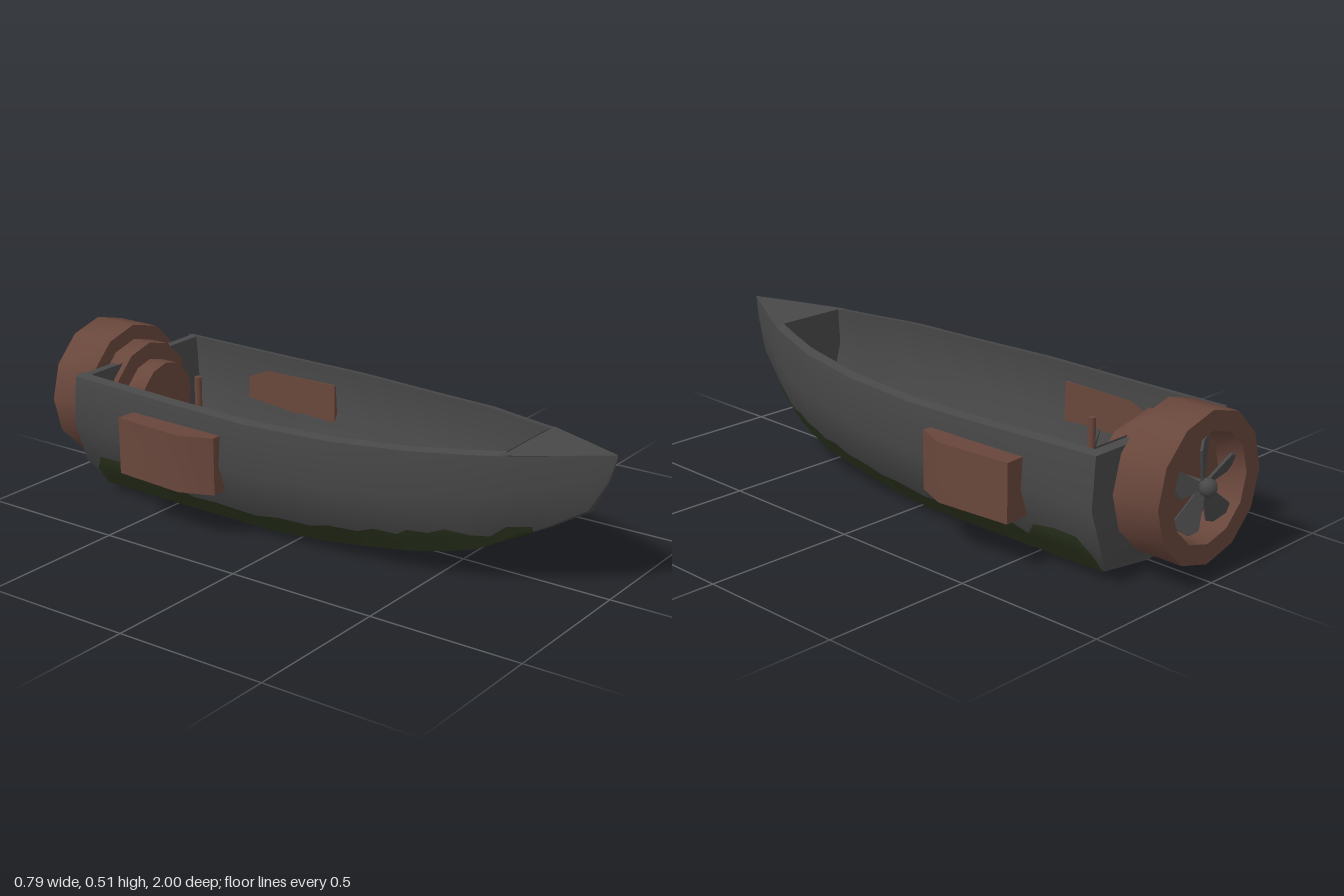
import * as THREE from 'three';
import { toCreasedNormals } from 'three/addons/utils/BufferGeometryUtils.js';

const V = (x, y, z) => new THREE.Vector3(x, y, z);
const material = (name, color) => {
  const m = new THREE.MeshStandardMaterial({ color, side: THREE.DoubleSide });
  m.name = name;
  return m;
};

// Linear lookup in [z, value] pairs, z descending
function lookup(table, z) {
  for (let i = 1; i < table.length; i++) {
    const [z0, a] = table[i - 1], [z1, b] = table[i];
    if (z >= z1) return a + (b - a) * Math.min(1, Math.max(0, (z0 - z) / (z0 - z1)));
  }
  return table[table.length - 1][1];
}
const beam = z => lookup([[1, 0], [0.98, 0.012], [0.93, 0.04], [0.85, 0.085], [0.7, 0.165], [0.45, 0.255],
  [0.2, 0.3], [-0.1, 0.33], [-0.4, 0.322], [-0.81, 0.308]], z);
const keel = z => lookup([[1, 0.44], [0.98, 0.36], [0.93, 0.26], [0.8, 0.18], [0.6, 0.08], [0.45, 0.05],
  [0.2, 0.02], [0, 0.004], [-0.81, 0]], z);
const sheer = z => lookup([[1, 0.445], [0.6, 0.42], [0.2, 0.402], [-0.2, 0.4], [-0.81, 0.413]], z);

// Half cross-section of the hull, gunwale down to keel
function section(z) {
  const w = beam(z), k = keel(z), h = sheer(z) - k;
  return [[0.96 * w, k + h], [w, k + 0.61 * h], [0.85 * w, k + 0.28 * h], [0.64 * w, k + 0.06 * h], [0, k]];
}
// Half width of the hull at a given height
function halfWidth(z, y) {
  const s = section(z);
  for (let i = 1; i < s.length; i++) {
    if (y >= s[i][1]) {
      const t = (y - s[i][1]) / (s[i - 1][1] - s[i][1]);
      return s[i][0] + (s[i - 1][0] - s[i][0]) * Math.min(1, t);
    }
  }
  return 0;
}

// Surface through equally long rows of points
function loft(rows, crease = 0.6) {
  const n = rows[0].length, index = [];
  for (let i = 0; i < rows.length - 1; i++) {
    for (let j = 0; j < n - 1; j++) {
      const a = i * n + j, c = a + n;
      index.push(a, c, a + 1, a + 1, c, c + 1);
    }
  }
  const g = new THREE.BufferGeometry().setFromPoints(rows.flat());
  g.setIndex(index);
  return toCreasedNormals(g, crease);
}
const mirrorRow = half => [...half, ...half.slice(0, -1).reverse().map(p => V(-p.x, p.y, p.z))];
const toCentre = row => row.map(p => V(0, p.y, p.z));

export function createModel() {
  const hullGrey = material('hull grey', 0x484848);
  const rust = material('rust brown', 0x68463b);
  const moss = material('moss green', 0x2d361f);
  const group = new THREE.Group();
  const add = (name, geometry, mat, parent = group) => {
    const mesh = new THREE.Mesh(geometry, mat);
    mesh.name = name;
    parent.add(mesh);
    return mesh;
  };

  // Outer hull; the transom rakes forward at the bottom
  const stations = [-0.81, -0.4, -0.1, 0.2, 0.45, 0.6, 0.7, 0.8, 0.85, 0.93, 0.98, 1];
  const outer = stations.map(z => mirrorRow(section(z).map(([x, y]) => V(x, y, z === -0.81 && y < 0.1 ? -0.77 : z))));
  add('hull', loft(outer), hullGrey);
  add('transom', loft([outer[0], toCentre(outer[0])]), hullGrey);

  // Inner walls and floor, with a raised stern platform
  const wall = 0.032;
  const floors = [[-0.77, 0.11], [-0.61, 0.115], [-0.34, 0.11], [-0.339, 0.05], [-0.1, 0.05], [0.21, 0.05],
    [0.48, 0.11], [0.6, 0.15], [0.71, 0.2]];
  const inner = floors.map(([z, f]) => {
    const s = section(z);
    return mirrorRow([V(s[0][0] - wall, s[0][1] + 0.006, z), V(s[1][0] - wall, s[1][1], z),
      V(halfWidth(z, f) - wall, f, z), V(0, f, z)]);
  });
  add('interior', loft(inner.slice().reverse(), 0.8), hullGrey);
  add('innerTransom', loft([inner[0], toCentre(inner[0])]), hullGrey);
  const last = inner[inner.length - 1];
  add('bowBulkhead', loft([last, toCentre(last)]), hullGrey);

  // Gunwale rims, stern rail and foredeck
  for (const side of [1, -1]) {
    const rim = [-0.81, -0.77, -0.4, -0.1, 0.2, 0.45, 0.6, 0.71].map(z => {
      const x = 0.96 * beam(z), y = sheer(z);
      return [V(side * x, y, z), V(side * (x - wall), y + 0.006, z)];
    });
    add('gunwale', loft(rim), hullGrey);
  }
  add('sternRail', loft([-0.81, -0.77].map(z => [V(-0.29, sheer(z), z), V(0.29, sheer(z), z)])), hullGrey);
  add('foredeck', loft([0.71, 0.8, 0.85, 0.93, 1].map(z =>
    [V(-0.96 * beam(z), sheer(z) + 0.002, z), V(0, sheer(z) + 0.003, z), V(0.96 * beam(z), sheer(z) + 0.002, z)])), hullGrey);

  // Ragged moss band wrapping round the bow above the lower chine
  const mossTop = [[0.81, 0.21], [0.72, 0.205], [0.67, 0.165], [0.62, 0.165], [0.55, 0.178], [0.5, 0.158], [0.44, 0.16],
    [0.4, 0.135], [0.33, 0.142], [0.27, 0.118], [0.18, 0.12], [0.1, 0.1], [0, 0.105], [-0.1, 0.088], [-0.25, 0.095],
    [-0.35, 0.09], [-0.42, 0.112], [-0.48, 0.118], [-0.53, 0.092], [-0.57, 0.14], [-0.65, 0.152], [-0.73, 0.148], [-0.77, 0.09]];
  const mossZ = [0.785, 0.75, ...mossTop.slice(1).map(p => p[0])].sort((a, b) => b - a);
  for (const side of [1, -1]) {
    const rows = mossZ.map(z => {
      const chine = section(z)[3][1], top = lookup(mossTop, z);
      const blend = Math.min(1, Math.max(0, (z - 0.6) / 0.18));
      const low = chine + (keel(z) - chine) * blend + 0.002;
      return [0, 0.2, 0.4, 0.6, 0.8, 1].map(t => {
        const y = low + (top - low) * t;
        return V(side * (halfWidth(z, y) + 0.005), y - 0.002, z);
      });
    });
    add('mossBand', loft(rows), moss);
  }

  // Side pods, a tapered plan extruded upwards
  for (const side of [1, -1]) {
    const plan = new THREE.Shape([[0.28, 0.55], [0.375, 0.555], [0.395, 0.3], [0.35, 0.19], [0.28, 0.19]]
      .map(([x, z]) => new THREE.Vector2(side * x, z)));
    const pod = new THREE.ExtrudeGeometry(plan, { depth: 0.187, bevelEnabled: false });
    pod.rotateX(-Math.PI / 2).translate(0, 0.159, 0);
    add(side > 0 ? 'leftPod' : 'rightPod', toCreasedNormals(pod, 0.6), rust);
  }

  // Stern motor: stepped housing and a twelve-sided fan shroud
  const motor = new THREE.Group();
  motor.name = 'motor';
  motor.position.y = 0.283;
  group.add(motor);
  const turned = (profile, z) => {
    const g = new THREE.LatheGeometry(profile.map(([r, h]) => new THREE.Vector2(r, h)), 12);
    return toCreasedNormals(g.rotateX(-Math.PI / 2).translate(0, 0, z), 0.7);
  };
  add('motorNose', turned([[0, 0], [0.125, 0], [0.125, 0.09]], -0.68), rust, motor);
  add('motorHousing', turned([[0, 0], [0.182, 0], [0.182, 0.09]], -0.75), rust, motor);
  add('fanShroud', turned([[0, 0], [0.232, 0], [0.232, 0.16], [0.17, 0.16], [0.155, 0.07], [0, 0.07]], -0.82), rust, motor);
  add('fanHub', new THREE.SphereGeometry(0.028, 10, 8).translate(0, 0, -0.972), hullGrey, motor);
  add('fanShaft', new THREE.CylinderGeometry(0.018, 0.018, 0.09, 8).rotateX(Math.PI / 2).translate(0, 0, -0.93), hullGrey, motor);

  // Five pitched fan blades
  const blade = new THREE.Shape([[-0.012, 0.015], [0.012, 0.015], [0.042, 0.12], [0.02, 0.145], [-0.025, 0.145], [-0.042, 0.125]]
    .map(([x, y]) => new THREE.Vector2(x, y)));
  for (let i = 0; i < 5; i++) {
    const g = new THREE.ExtrudeGeometry(blade, { depth: 0.008, bevelEnabled: false });
    g.rotateY(0.45).rotateZ((i * Math.PI * 2) / 5).translate(0, 0, -0.958);
    add('fanBlade', g, hullGrey, motor);
  }

  // Tiller arm and upright grip
  add('tillerArm', new THREE.CylinderGeometry(0.011, 0.011, 0.16, 8).rotateX(Math.PI / 2).translate(0, 0.25, -0.61), hullGrey);
  add('tillerGrip', new THREE.CylinderGeometry(0.012, 0.012, 0.14, 8).translate(0, 0.315, -0.542), rust);
  return group;
}
